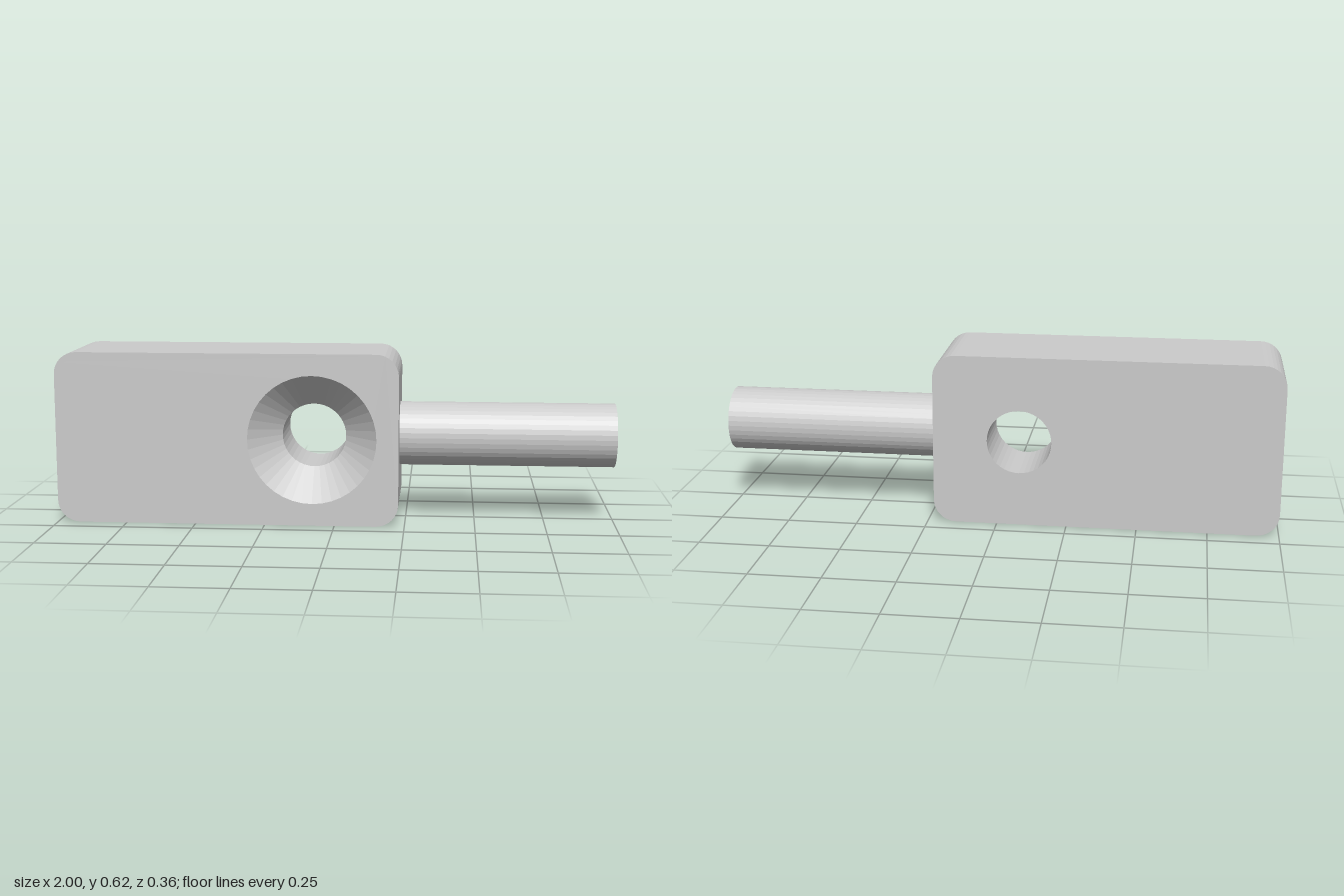
import * as THREE from 'three';

const LEFT = -1, RIGHT = 0.228, HEIGHT = 0.616, HALF_DEPTH = 0.181, CORNER = 0.08;
const HOLE_X = -0.08, HOLE_Y = 0.309, BORE = 0.115, SINK = 0.23;

const material = new THREE.MeshStandardMaterial({ color: 0xcccccc, flatShading: true });

// Rounded rectangle outline, each corner in 8 steps
function blockOutline() {
  const points = [];
  const centres = [
    [RIGHT - CORNER, HEIGHT - CORNER], [LEFT + CORNER, HEIGHT - CORNER],
    [LEFT + CORNER, CORNER], [RIGHT - CORNER, CORNER],
  ];
  centres.forEach(([x, y], quarter) => {
    for (let i = 0; i <= 8; i++) {
      const a = (quarter + i / 8) * Math.PI / 2;
      points.push(new THREE.Vector2(x + CORNER * Math.cos(a), y + CORNER * Math.sin(a)));
    }
  });
  return new THREE.Shape(points);
}

// Block with a hole that is countersunk from the front at 45 degrees
function blockGeometry() {
  const shape = blockOutline();
  shape.holes.push(new THREE.Path().absarc(HOLE_X, HOLE_Y, SINK, 0, Math.PI * 2, true));
  const geometry = new THREE.ExtrudeGeometry(shape, {
    depth: HALF_DEPTH * 2, steps: 2, curveSegments: 20, bevelEnabled: false,
  });
  geometry.translate(0, 0, -HALF_DEPTH);

  // Middle ring becomes the foot of the cone; behind it the hole narrows to the bore
  const p = geometry.attributes.position;
  for (let i = 0; i < p.count; i++) {
    const z = p.getZ(i);
    if (Math.abs(z) < 0.01) p.setZ(i, HALF_DEPTH - (SINK - BORE));
    const dx = p.getX(i) - HOLE_X, dy = p.getY(i) - HOLE_Y;
    if (z < HALF_DEPTH - 0.01 && Math.hypot(dx, dy) < SINK + 0.005) {
      p.setXY(i, HOLE_X + dx * BORE / SINK, HOLE_Y + dy * BORE / SINK);
    }
  }
  geometry.computeVertexNormals();
  return geometry;
}

export function createModel() {
  const model = new THREE.Group();
  model.name = 'countersunkBlockWithPin';

  const block = new THREE.Mesh(blockGeometry(), material);
  block.name = 'block';

  // Round pin out of the block's side
  const length = 1 - RIGHT;
  const pin = new THREE.Mesh(new THREE.CylinderGeometry(BORE, BORE, length, 40), material);
  pin.name = 'pin';
  pin.rotation.z = -Math.PI / 2;
  pin.position.set(RIGHT + length / 2, HOLE_Y, -0.007);

  model.add(block, pin);
  return model;
}
